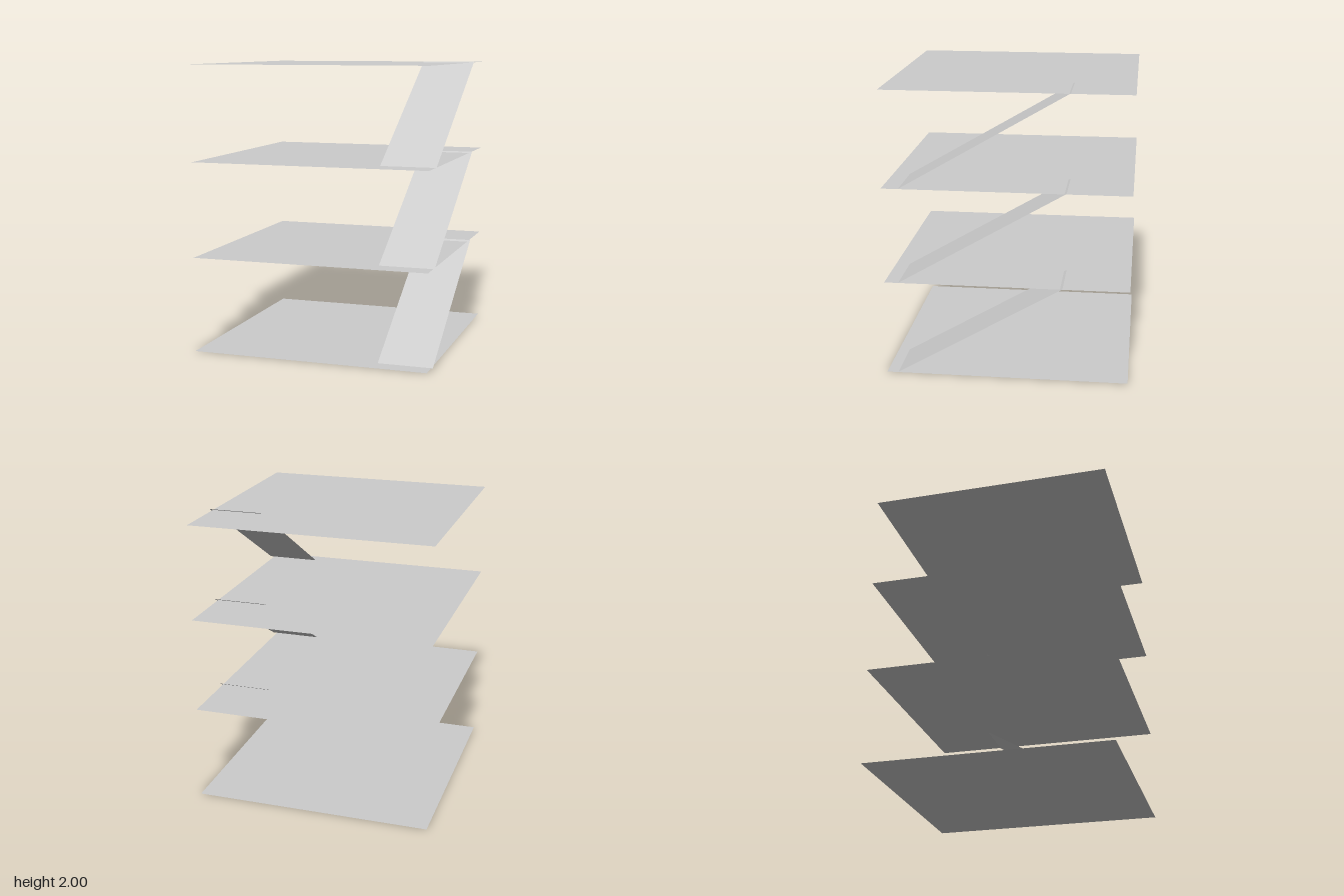
import * as THREE from 'three';

const FLOORS = 4, TOP = 1.993, STEP = TOP / (FLOORS - 1);

export function createModel() {
  const model = new THREE.Group();
  const material = new THREE.MeshStandardMaterial({ color: 0xcccccc, side: THREE.DoubleSide, flatShading: true });

  // Square floor slabs, stacked evenly
  const floorGeometry = new THREE.PlaneGeometry(1.666, 1.67).rotateX(-Math.PI / 2);
  for (let i = 0; i < FLOORS; i++) {
    const floor = new THREE.Mesh(floorGeometry, material);
    floor.name = `floor${i + 1}`;
    floor.position.set(-0.01, i * STEP, 0);
    model.add(floor);
  }

  // Ramps climbing towards the back, each shifted slightly back from the one below
  const rise = 0.664, run = 1.136;
  const rampGeometry = new THREE.PlaneGeometry(0.38, Math.hypot(rise, run))
    .rotateX(-Math.PI / 2 + Math.atan2(rise, run));
  for (let i = 0; i < FLOORS - 1; i++) {
    const ramp = new THREE.Mesh(rampGeometry, material);
    ramp.name = `ramp${i + 1}`;
    ramp.position.set(0.653, 0.011 + rise / 2 + i * 0.6625, 0.184 - i * 0.0195);
    model.add(ramp);
  }
  return model;
}
